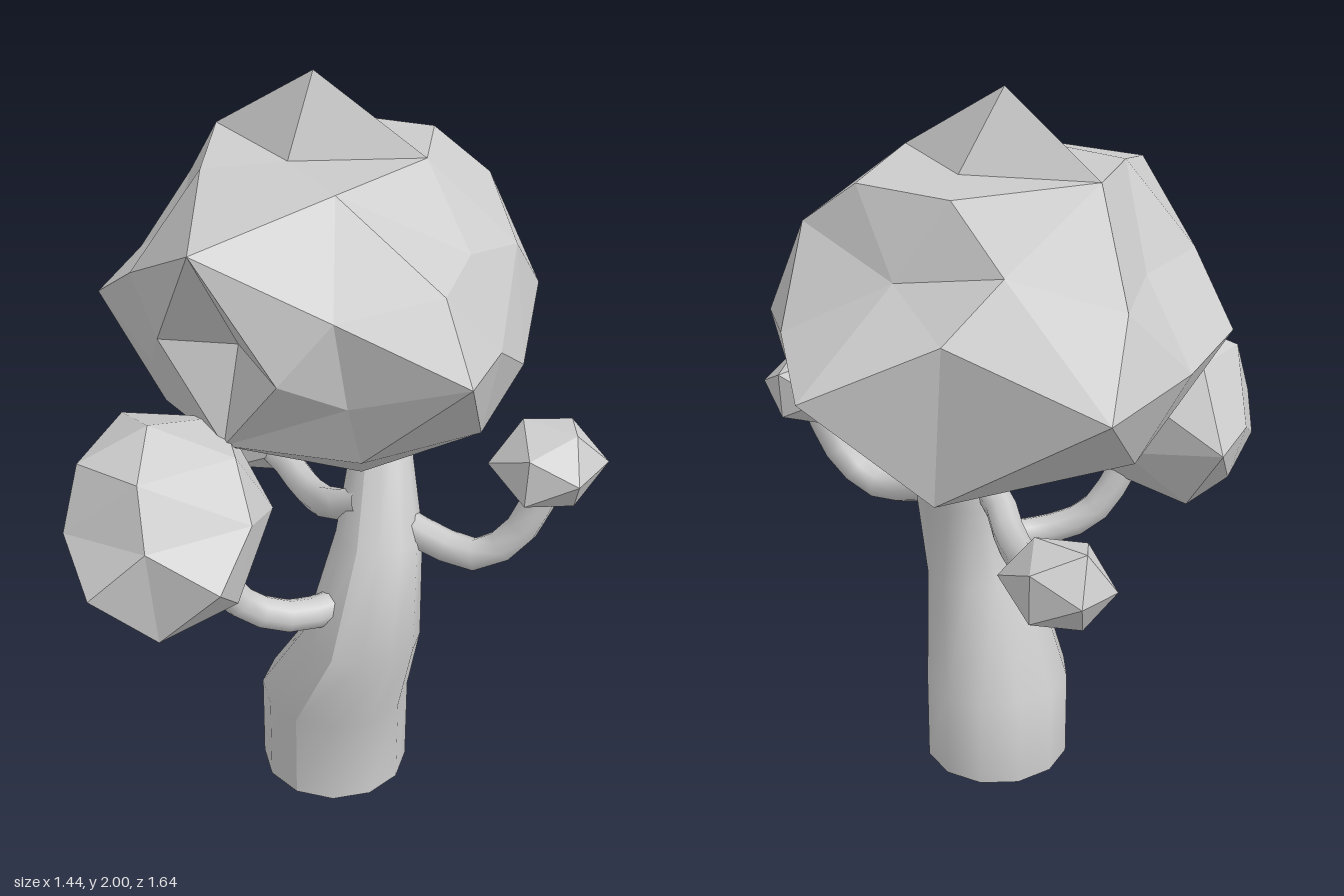
import * as THREE from 'three';
import { ConvexGeometry } from 'three/addons/geometries/ConvexGeometry.js';

const smooth = new THREE.MeshStandardMaterial({ color: 0xcccccc });
const faceted = new THREE.MeshStandardMaterial({ color: 0xcccccc, flatShading: true });
const V = (p) => new THREE.Vector3(...p);

function addMesh(group, name, geometry, material) {
  const mesh = new THREE.Mesh(geometry, material);
  mesh.name = name;
  group.add(mesh);
  return mesh;
}

// Trunk: a cylinder whose rings follow [x, y, z, radius]
function trunkGeometry(rings) {
  const n = rings.length - 1;
  const g = new THREE.CylinderGeometry(1, 1, 1, 12, n);
  const pos = g.attributes.position;
  for (let i = 0; i < pos.count; i++) {
    const [x, y, z, r] = rings[Math.round((pos.getY(i) + 0.5) * n)];
    pos.setXYZ(i, x + pos.getX(i) * r, y, z + pos.getZ(i) * r);
  }
  g.computeVertexNormals();
  return g;
}

// Branch: a bent tube
function branchGeometry(points, radius) {
  const curve = new THREE.CatmullRomCurve3(points.map(V));
  return new THREE.TubeGeometry(curve, 7, radius, 8);
}

// Leaf mass: points around a centre, joined in the order of their directions,
// so that spikes and hollows both survive
function starGeometry(points, centre) {
  const c = V(centre);
  const pts = points.map(V);
  const dirs = pts.map((p) => p.clone().sub(c).normalize());
  const g = new ConvexGeometry(dirs);
  const pos = g.attributes.position;
  const v = new THREE.Vector3();
  for (let i = 0; i < pos.count; i++) {
    v.fromBufferAttribute(pos, i);
    let best = 0;
    dirs.forEach((d, k) => { if (d.dot(v) > dirs[best].dot(v)) best = k; });
    pos.setXYZ(i, ...pts[best].toArray());
  }
  g.computeVertexNormals();
  return g;
}

// Small clump: an icosahedron with each corner pushed in or out
function clumpGeometry(radii, jitter, seed) {
  const g = new THREE.IcosahedronGeometry(1, 0);
  const pos = g.attributes.position;
  const v = new THREE.Vector3();
  for (let i = 0; i < pos.count; i++) {
    v.fromBufferAttribute(pos, i);
    const q = v.toArray().map((a) => Math.round(a * 100));
    const h = Math.sin(q[0] * 12.99 + q[1] * 78.23 + q[2] * 37.72 + seed) * 4375.85;
    v.multiplyScalar(1 + jitter * (h - Math.floor(h) - 0.5)).multiply(V(radii));
    pos.setXYZ(i, v.x, v.y, v.z);
  }
  g.computeVertexNormals();
  return g;
}

export function createModel() {
  const tree = new THREE.Group();
  tree.name = 'tree';

  addMesh(tree, 'trunk', trunkGeometry([
    [0.05, 0, 0.03, 0.21],
    [0.05, 0.26, 0.03, 0.21],
    [0.178, 0.53, 0.1, 0.16],
    [0.17, 0.8, 0.0, 0.118],
    [0.11, 1.06, -0.11, 0.075],
  ]), smooth);

  const branches = {
    frontBranch: [[0.13, 0.63, 0.14], [0.06, 0.63, 0.25], [-0.03, 0.68, 0.34], [-0.08, 0.78, 0.4], [-0.11, 0.9, 0.45]],
    leftBranch: [[0.2, 0.84, -0.03], [0.33, 0.79, -0.05], [0.44, 0.78, -0.07], [0.53, 0.86, -0.11], [0.59, 1.02, -0.15]],
    rightBranch: [[0.13, 0.89, 0.02], [0.02, 0.84, 0.0], [-0.1, 0.8, -0.08], [-0.25, 0.81, -0.18], [-0.38, 0.83, -0.23]],
  };
  for (const [name, points] of Object.entries(branches))
    addMesh(tree, name, branchGeometry(points, 0.045), smooth);

  addMesh(tree, 'crown', starGeometry([
    // top fin
    [-0.1, 2.0, -0.1], [-0.4, 1.82, -0.1], [0.21, 1.82, -0.13], [-0.1, 1.8, 0.02], [-0.08, 1.81, -0.24],
    // front brow, with the hollow beneath it
    [-0.25, 1.8, 0.18], [0.13, 1.8, 0.17], [-0.06, 1.72, 0.5], [-0.36, 1.56, 0.34],
    [0.23, 1.56, 0.34], [-0.07, 1.42, 0.295], [0.13, 1.41, 0.43], [-0.27, 1.41, 0.36],
    // left side
    [0.535, 1.42, 0.22], [0.42, 1.6, 0.15], [0.39, 1.64, -0.03], [0.5, 1.42, 0.0], [0.24, 1.32, 0.29],
    [0.49, 1.32, -0.16], [0.41, 1.6, -0.25], [0.39, 1.42, -0.45],
    // right side
    [-0.57, 1.42, 0.22], [-0.67, 1.42, -0.09], [-0.44, 1.58, 0.03], [-0.725, 1.42, -0.45],
    [-0.62, 1.6, -0.27], [-0.37, 1.28, 0.26],
    // back
    [-0.37, 1.55, -0.6], [0.07, 1.8, -0.43], [0.22, 1.69, -0.47], [-0.2, 1.8, -0.39],
    [-0.4, 1.67, -0.43], [-0.11, 1.61, -0.49], [0.13, 1.47, -0.63], [-0.14, 1.42, -0.82],
    [0.22, 1.25, -0.52], [-0.33, 1.15, -0.59],
    // underside
    [-0.6, 1.21, -0.2], [0.42, 1.14, -0.08], [0.13, 0.99, 0.03], [-0.12, 1.03, -0.41],
    [0.24, 1.14, 0.22], [-0.38, 1.14, 0.2], [-0.07, 1.17, 0.37], [-0.2, 1.05, -0.05],
  ], [-0.1, 1.43, -0.12]), faceted);

  addMesh(tree, 'frontClump', starGeometry([
    // top
    [-0.18, 1.27, 0.53], [-0.3, 1.19, 0.66], [0.0, 1.18, 0.42], [-0.35, 1.21, 0.42],
    [-0.1, 1.2, 0.68], [-0.15, 1.18, 0.26],
    // waist
    [-0.16, 0.93, 0.82], [0.13, 0.97, 0.68], [0.1, 1.06, 0.5], [-0.48, 1.0, 0.35],
    [-0.45, 1.03, 0.5], [-0.38, 0.95, 0.64], [-0.3, 1.03, 0.73], [-0.04, 1.06, 0.74],
    [0.04, 1.0, 0.32], [-0.2, 0.95, 0.28],
    // underside
    [0.08, 0.85, 0.54], [-0.03, 0.8, 0.72], [-0.28, 0.8, 0.68], [-0.12, 0.75, 0.5],
    [-0.42, 0.88, 0.47], [-0.32, 0.78, 0.42], [-0.02, 0.82, 0.38],
  ], [-0.18, 1.0, 0.53]), faceted);

  const clumps = [
    ['leftClump', [0.145, 0.12, 0.155], 5, [0.585, 1.07, -0.145]],
    ['rightClump', [0.16, 0.125, 0.125], 8, [-0.405, 0.83, -0.235]],
  ];
  for (const [name, radii, seed, at] of clumps)
    addMesh(tree, name, clumpGeometry(radii, 0.15, seed), faceted).position.set(...at);

  return tree;
}
